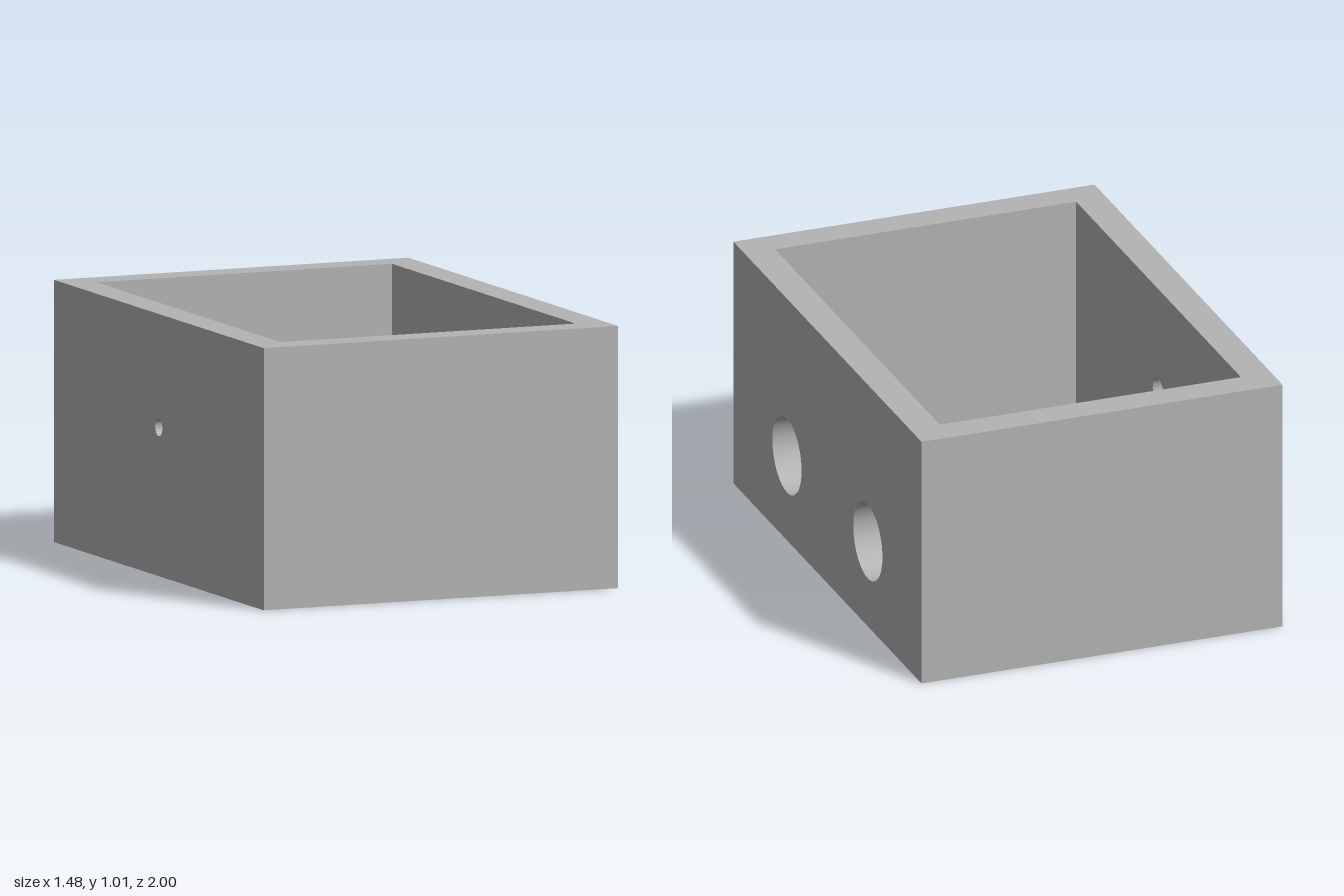
import * as THREE from 'three';

// Overall and cavity dimensions
const X = 0.74, Z = 1, H = 1.013;
const IX = 0.617, IZ = 0.876, FLOOR = 0.123;

// Holes: [u, v, radius] in the plane of each panel
const PORTS = [[-0.43, 0.356, 0.155], [0.43, 0.356, 0.155]];
const SCREWS = [[-0.48, -0.79], [0.48, -0.79], [-0.48, 0.73], [0.48, 0.73]];
const SCREW_R = 0.034;
const CABLE = { y: 0.575, outer: 0.034, inner: 0.062, depth: 0.06 };

function rect(target, u0, v0, u1, v1) {
  target.moveTo(u0, v0);
  target.lineTo(u1, v0);
  target.lineTo(u1, v1);
  target.lineTo(u0, v1);
  target.closePath();
  return target;
}

function circle([u, v, r]) {
  return new THREE.Path().absarc(u, v, r, 0, Math.PI * 2, true);
}

export function createModel() {
  const group = new THREE.Group();
  const grey = new THREE.MeshStandardMaterial({ color: 0xb4b4b4, side: THREE.DoubleSide });
  grey.name = 'plain grey';

  function add(name, geometry, position, rx = 0, ry = 0, rz = 0) {
    const mesh = new THREE.Mesh(geometry, grey);
    mesh.name = name;
    mesh.position.set(...position);
    mesh.rotation.set(rx, ry, rz);
    group.add(mesh);
  }

  // Flat panel with round holes
  function panel(name, bounds, holes, position, rx, ry) {
    const shape = rect(new THREE.Shape(), ...bounds);
    shape.holes.push(...holes.map(circle));
    add(name, new THREE.ShapeGeometry(shape, 48), position, rx, ry);
  }

  // Open tube lining a hole
  const bore = (r, length) => new THREE.CylinderGeometry(r, r, length, 48, 1, true);

  const q = Math.PI / 2;

  // Front and back walls, outside and inside
  for (const [name, s, turn] of [['front', 1, 0], ['back', -1, Math.PI]]) {
    panel(name + 'WallOutside', [-X, 0, X, H], [], [0, 0, s * Z], 0, turn);
    panel(name + 'WallInside', [-IX, FLOOR, IX, H], [], [0, 0, s * IZ], 0, turn + Math.PI);
  }

  // Left wall with two large ports
  panel('leftWallOutside', [-Z, 0, Z, H], PORTS, [X, 0, 0], 0, q);
  panel('leftWallInside', [-IZ, FLOOR, IZ, H], PORTS, [IX, 0, 0], 0, -q);
  for (const [z, y, r] of PORTS) {
    add('portLining', bore(r, X - IX), [(X + IX) / 2, y, z], 0, 0, q);
  }

  // Right wall with a stepped cable hole
  const outer = [0, CABLE.y, CABLE.outer], inner = [0, CABLE.y, CABLE.inner];
  const step = IX + CABLE.depth;
  panel('rightWallOutside', [-Z, 0, Z, H], [outer], [-X, 0, 0], 0, -q);
  panel('rightWallInside', [-IZ, FLOOR, IZ, H], [inner], [-IX, 0, 0], 0, q);
  add('cableHoleLining', bore(CABLE.outer, X - step), [-(X + step) / 2, CABLE.y, 0], 0, 0, q);
  add('cableRecessLining', bore(CABLE.inner, CABLE.depth), [-(IX + step) / 2, CABLE.y, 0], 0, 0, q);
  add('cableRecessStep', new THREE.RingGeometry(CABLE.outer, CABLE.inner, 48), [-step, CABLE.y, 0], 0, q);

  // Floor and underside with four screw holes
  panel('floorInside', [-IX, -IZ, IX, IZ], SCREWS.map(([x, z]) => [x, -z, SCREW_R]), [0, FLOOR, 0], -q, 0);
  panel('underside', [-X, -Z, X, Z], SCREWS.map(([x, z]) => [x, z, SCREW_R]), [0, 0, 0], q, 0);
  for (const [x, z] of SCREWS) {
    add('screwHoleLining', bore(SCREW_R, FLOOR), [x, FLOOR / 2, z]);
  }

  // Open top rim
  const rim = rect(new THREE.Shape(), -X, -Z, X, Z);
  rim.holes.push(rect(new THREE.Path(), -IX, -IZ, IX, IZ));
  add('topRim', new THREE.ShapeGeometry(rim), [0, H, 0], -q);

  return group;
}
